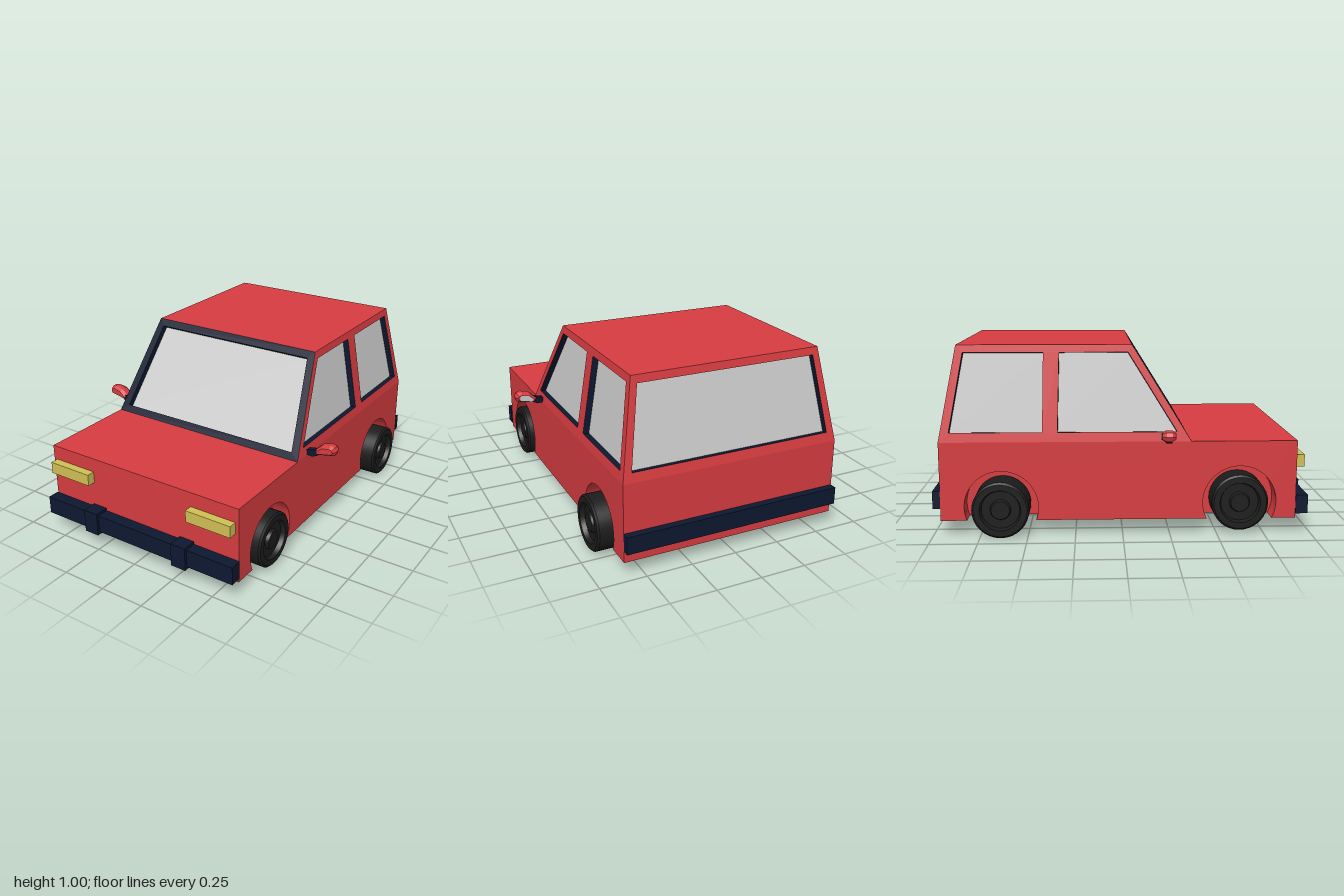
import * as THREE from 'three';
import { toCreasedNormals } from 'three/addons/utils/BufferGeometryUtils.js';

const paint = (color, extra = {}) => new THREE.MeshStandardMaterial({ color, ...extra });
const V = (x, y, z) => new THREE.Vector3(x, y, z);

export function createModel() {
  const car = new THREE.Group();
  car.name = 'car';
  const red = paint(0xd63c40), navy = paint(0x0d1830), yellow = paint(0xd0c055);
  const rubber = paint(0x1c1c1c), glass = paint(0xcccccc, { side: THREE.DoubleSide });

  const add = (name, geometry, material, parent = car) => {
    const mesh = new THREE.Mesh(geometry, material);
    mesh.name = name;
    parent.add(mesh);
    return mesh;
  };
  // box from its minimum and maximum corners
  const box = (name, material, [x0, y0, z0], [x1, y1, z1], parent) => {
    const g = new THREE.BoxGeometry(x1 - x0, y1 - y0, z1 - z0);
    g.translate((x0 + x1) / 2, (y0 + y1) / 2, (z0 + z1) / 2);
    return add(name, g, material, parent);
  };

  const W = 0.605, CORE = 0.5, FLOOR = 0.08, BELT = 0.5, FRONT = 0.92, BACK = -0.96;
  const axles = [
    { name: 'front', z: 0.62, y: 0.17, inner: 0.43, outer: 0.63 },
    { name: 'rear', z: -0.64, y: 0.15, inner: 0.5, outer: 0.67 },
  ];

  // lower body: core plus side skins with wheel arches
  box('bodyCore', red, [-CORE, FLOOR, BACK], [CORE, BELT, FRONT]);
  const skin = new THREE.Shape();
  skin.moveTo(BACK, BELT);
  skin.lineTo(BACK, FLOOR);
  for (const a of [axles[1], axles[0]]) {
    const r = 0.195, dip = Math.asin((a.y - FLOOR) / r);
    skin.absarc(a.z, a.y, r, Math.PI + dip, -dip, true);
  }
  skin.lineTo(FRONT, FLOOR);
  skin.lineTo(FRONT, BELT);
  for (const [name, x] of [['leftBodySide', W], ['rightBodySide', -CORE]]) {
    const g = new THREE.ExtrudeGeometry(skin, { depth: W - CORE, bevelEnabled: false, curveSegments: 24 });
    g.rotateY(-Math.PI / 2);
    add(name, toCreasedNormals(g, 0.5), red).position.x = x;
  }

  // cabin surfaces, leaning inward from belt line to roof
  const lean = (y, low, high) => low + (high - low) * (y - BELT) / 0.5;
  const onSide = s => ([z, y]) => V(s * lean(y, W, 0.52), y, z);
  const onFront = ([x, y]) => V(x, y, lean(y, 0.36, 0.05));
  const onBack = ([x, y]) => V(x, y, lean(y, BACK, -0.865));

  // flat panel with window openings, dark reveals and recessed panes;
  // outline starts with the two lower corners, left to right from outside
  const panel = (name, place, outline, windows, face) => {
    const depth = 0.035, [a, b, , d] = outline.map(place);
    const u = b.clone().sub(a).normalize();
    const n = u.clone().cross(d.clone().sub(a)).normalize();
    const v = n.clone().cross(u);
    const flat = pts => pts.map(place).map(p => {
      p.sub(a);
      return new THREE.Vector2(p.dot(u), p.dot(v));
    });
    const group = new THREE.Group();
    group.name = name;
    new THREE.Matrix4().makeBasis(u, v, n).setPosition(a.clone().addScaledVector(n, -depth))
      .decompose(group.position, group.quaternion, group.scale);
    car.add(group);
    const shape = new THREE.Shape(flat(outline));
    windows.forEach(w => shape.holes.push(new THREE.Path(flat(w))));
    add('frame', new THREE.ExtrudeGeometry(shape, { depth, bevelEnabled: false }), [face, navy], group);
    windows.forEach(w => {
      add('pane', new THREE.ShapeGeometry(new THREE.Shape(flat(w))), glass, group).position.z = 0.002;
    });
  };

  const side = [[0.36, BELT], [BACK, BELT], [-0.865, 1], [0.05, 1]];
  const sideWindows = [
    [[0.285, 0.55], [-0.34, 0.55], [-0.33, 0.96], [0.03, 0.96]],
    [[-0.42, 0.55], [-0.905, 0.55], [-0.83, 0.96], [-0.413, 0.96]],
  ];
  panel('leftCabinSide', onSide(1), side, sideWindows, red);
  panel('rightCabinSide', onSide(-1), [side[1], side[0], side[3], side[2]], sideWindows, red);
  panel('windshield', onFront, [[-W, BELT], [W, BELT], [0.52, 1], [-0.52, 1]],
    [[[-0.555, 0.535], [0.555, 0.535], [0.485, 0.965], [-0.485, 0.965]]], navy);
  panel('rearWindow', onBack, [[W, BELT], [-W, BELT], [-0.52, 1], [0.52, 1]],
    [[[0.555, 0.55], [-0.555, 0.55], [-0.49, 0.96], [0.49, 0.96]]], red);
  box('roof', red, [-0.52, 0.975, -0.865], [0.52, 1, 0.05]);

  // bumpers
  box('frontBumper', navy, [-0.61, 0.105, FRONT], [0.61, 0.205, 0.985]);
  box('rearBumper', navy, [-W, 0.145, -1], [W, 0.24, BACK]);

  // wheel turned around its axle: tyre, recessed rim and hub cap
  const wheel = w => {
    const profile = [[0, 0], [0.14, 0], [0.15, 0.01], [0.15, w - 0.01], [0.14, w], [0.108, w],
      [0.1, w - 0.025], [0.055, w - 0.025], [0.048, w - 0.008], [0, w - 0.008]];
    const g = new THREE.LatheGeometry(profile.map(p => new THREE.Vector2(...p)), 32);
    return toCreasedNormals(g, 0.5);
  };

  // paired parts
  for (const [label, s] of [['left', 1], ['right', -1]]) {
    const pair = (name, material, x0, x1, lo, hi) =>
      box(name, material, [Math.min(s * x0, s * x1), lo[0], lo[1]], [Math.max(s * x0, s * x1), hi[0], hi[1]]);
    pair(label + 'Headlight', yellow, 0.32, 0.585, [0.355, FRONT], [0.42, 0.965]);
    pair(label + 'BumperGuard', navy, 0.247, 0.335, [0.09, FRONT], [0.22, 1]);

    for (const a of axles) {
      const m = add(label + a.name[0].toUpperCase() + a.name.slice(1) + 'Wheel', wheel(a.outer - a.inner), rubber);
      m.rotation.z = -s * Math.PI / 2;
      m.position.set(s * a.inner, a.y, a.z);
    }

    // door mirror: arm, shell and rear-facing glass
    const outline = (pts, k = 1) => new THREE.Shape(
      pts.map(([x, y]) => new THREE.Vector2(s * (0.71 + (x - 0.71) * k), 0.547 + (y - 0.547) * k)));
    const arm = new THREE.ExtrudeGeometry(
      outline([[0.59, 0.5], [0.635, 0.495], [0.67, 0.512], [0.66, 0.542], [0.59, 0.525]]),
      { depth: 0.03, bevelEnabled: false });
    arm.translate(0, 0, 0.225);
    add(label + 'MirrorArm', arm, navy);
    const pts = [[0.645, 0.535], [0.66, 0.51], [0.76, 0.53], [0.77, 0.555], [0.76, 0.577], [0.735, 0.584], [0.685, 0.572]];
    const shell = new THREE.ExtrudeGeometry(outline(pts), {
      depth: 0.03, bevelThickness: 0.02, bevelSize: 0.012, bevelOffset: -0.012, bevelSegments: 1,
    });
    shell.translate(0, 0, 0.215);
    add(label + 'MirrorShell', shell, red);
    const mirror = add(label + 'MirrorGlass', new THREE.ShapeGeometry(outline(pts, 0.65)), glass);
    mirror.position.z = 0.193;
  }
  return car;
}
